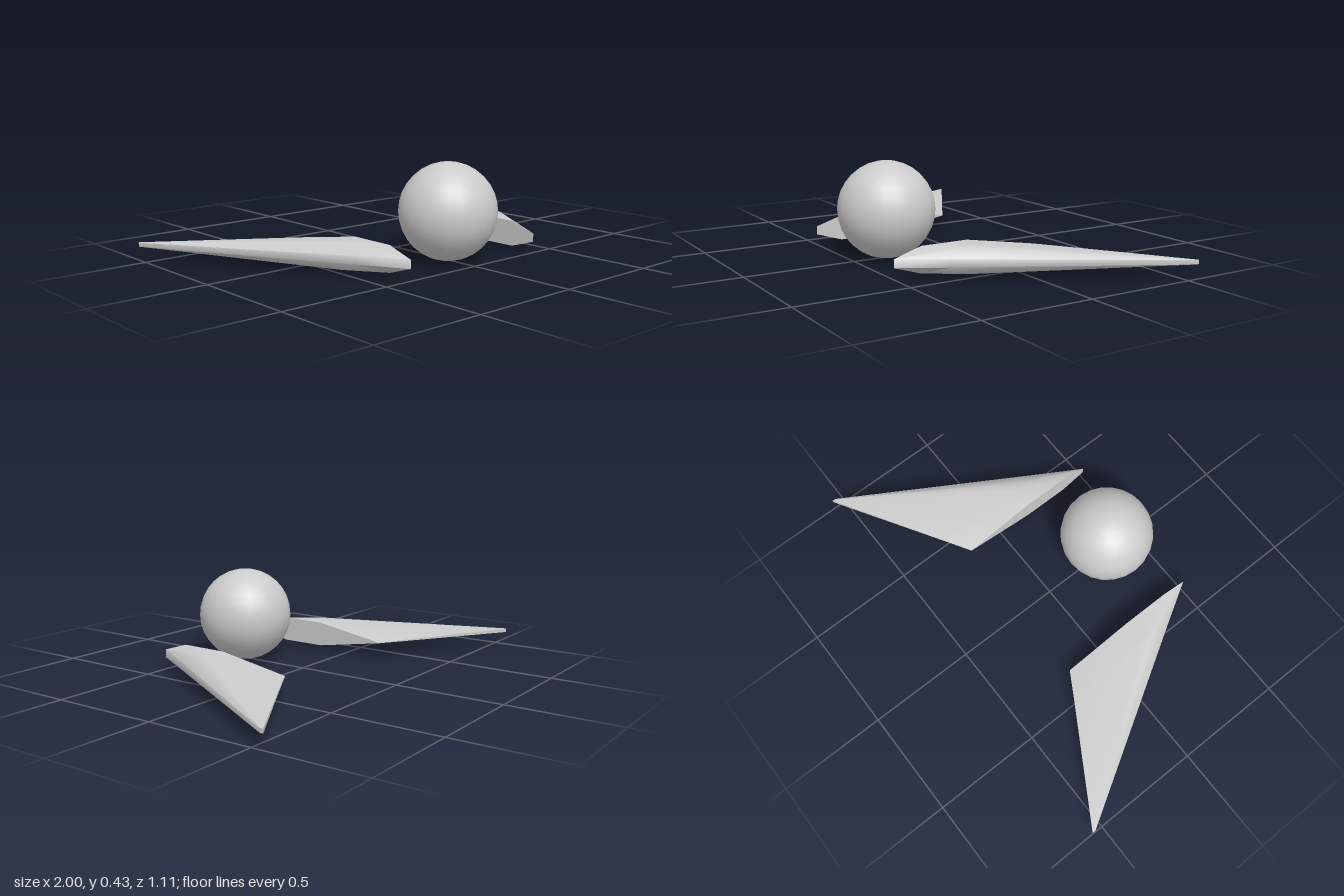
import * as THREE from 'three';
import { toCreasedNormals } from 'three/addons/utils/BufferGeometryUtils.js';

// Wing cross-sections from root to tip: spanwise x, then z and half thickness
// at the leading edge, front of crown, back of crown and trailing edge.
const MID_Y = 0.071;
const stations = [
  { x: 0.375, z: [0.505, 0.38, 0.16, -0.18], h: [0.019, 0.058, 0.058, 0.001] },
  { x: 0.49, z: [0.31, 0.21, 0.14, -0.248], h: [0.018, 0.058, 0.058, 0.003] },
  { x: 1, z: [-0.54, -0.545, -0.55, -0.555], h: [0.009, 0.009, 0.009, 0.009] },
];

function wingGeometry(side) {
  const positions = [];
  // Closed loop: over the top from front to back, then back underneath
  const loops = stations.map(({ x, z, h }) => {
    const top = z.map((zi, i) => [side * x, MID_Y + h[i], zi]);
    const bottom = z.map((zi, i) => [side * x, MID_Y - h[i], zi]).reverse();
    return [...top, ...bottom];
  });
  const tri = (a, b, c) => positions.push(...a, ...(side > 0 ? [...b, ...c] : [...c, ...b]));

  // Skin between neighbouring sections
  for (let s = 0; s < loops.length - 1; s++) {
    const n = loops[s].length;
    for (let i = 0; i < n; i++) {
      const j = (i + 1) % n;
      tri(loops[s][i], loops[s + 1][i], loops[s + 1][j]);
      tri(loops[s][i], loops[s + 1][j], loops[s][j]);
    }
  }
  // Root and tip caps
  const root = loops[0], tip = loops[loops.length - 1];
  for (let i = 1; i < root.length - 1; i++) {
    tri(root[0], root[i], root[i + 1]);
    tri(tip[0], tip[i + 1], tip[i]);
  }
  const geometry = new THREE.BufferGeometry();
  geometry.setAttribute('position', new THREE.Float32BufferAttribute(positions, 3));
  return toCreasedNormals(geometry, 1.0);
}

export function createModel() {
  const model = new THREE.Group();
  const material = new THREE.MeshStandardMaterial({ color: 0xcccccc });

  // Round body at the front
  const ball = new THREE.Mesh(new THREE.SphereGeometry(0.216, 24, 16), material);
  ball.name = 'ball';
  ball.position.set(0, 0.216, 0.338);
  model.add(ball);

  // Swept-back wings
  for (const side of [1, -1]) {
    const wing = new THREE.Mesh(wingGeometry(side), material);
    wing.name = side > 0 ? 'leftWing' : 'rightWing';
    model.add(wing);
  }
  return model;
}
